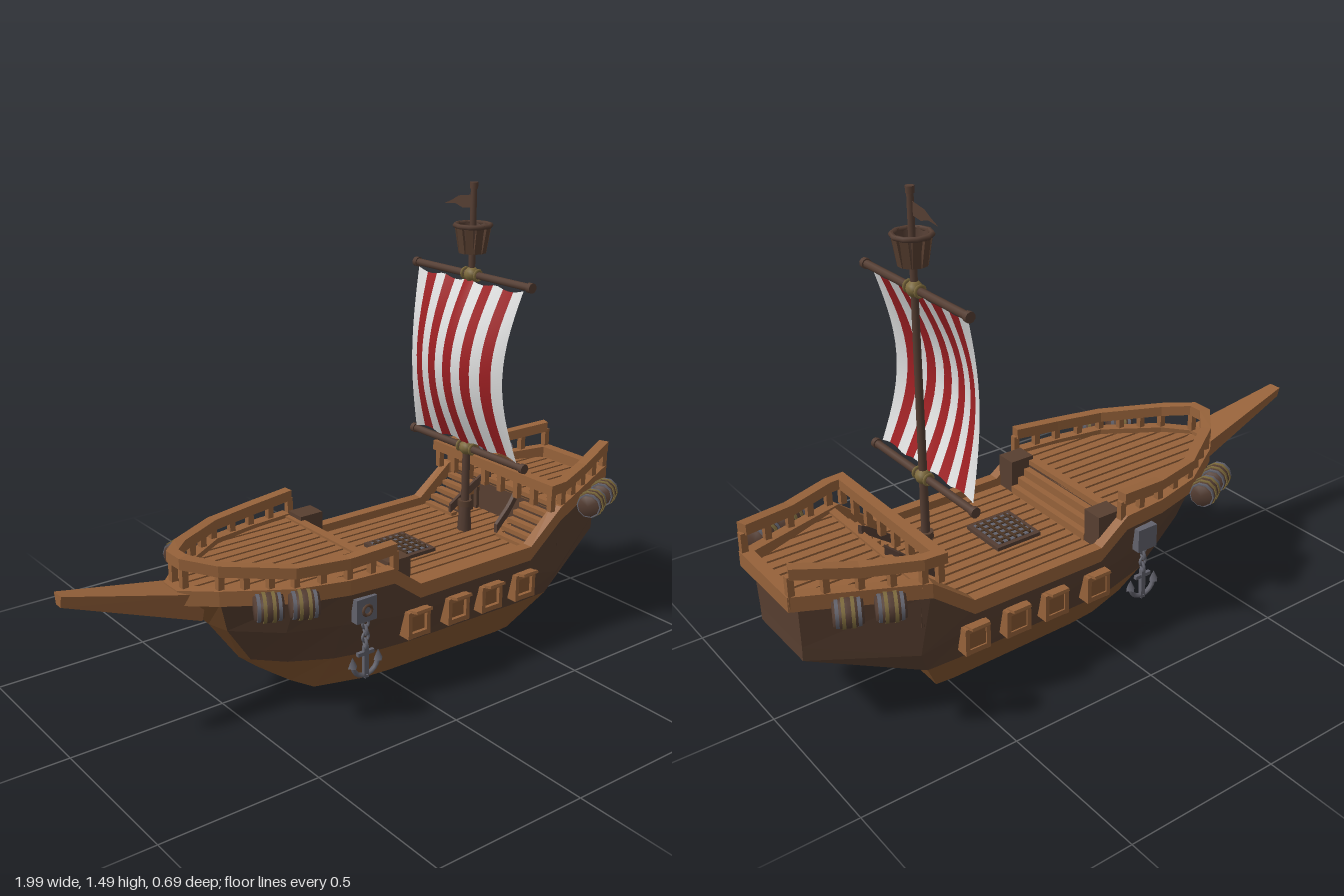
import * as THREE from 'three';

const mat = (name, color, side = THREE.FrontSide) => {
  const m = new THREE.MeshStandardMaterial({ color, side });
  m.name = name;
  return m;
};

export function createModel() {
  const ship = new THREE.Group();
  ship.name = 'sailingShip';
  const wood = mat('lightWood', 0x96623a);
  const hullWood = mat('hullWood', 0x845630);
  const dark = mat('darkHullWood', 0x583f30);
  const gap = mat('deckGaps', 0x4a3424);
  const spar = mat('sparWood', 0x543d32, THREE.DoubleSide);
  const iron = mat('iron', 0x62626c);
  const rope = mat('rope', 0x7d6a3c);
  const white = mat('sailWhite', 0xdcdcdc, THREE.DoubleSide);
  const red = mat('sailRed', 0x9c1f22, THREE.DoubleSide);

  const add = (name, geo, m, x = 0, y = 0, z = 0, parent = ship) => {
    const mesh = new THREE.Mesh(geo, m);
    mesh.name = name;
    mesh.position.set(x, y, z);
    parent.add(mesh);
    return mesh;
  };
  // box given by its limits
  const box = (name, m, x0, x1, y0, y1, z0, z1, parent) => add(name,
    new THREE.BoxGeometry(x1 - x0, y1 - y0, z1 - z0), m, (x0 + x1) / 2, (y0 + y1) / 2, (z0 + z1) / 2, parent);
  const flip = p => [p[0], p[1], -p[2]];
  const quads = list => {
    const pos = [];
    for (const [a, b, c, d] of list) pos.push(...a, ...b, ...c, ...a, ...c, ...d);
    const g = new THREE.BufferGeometry();
    g.setAttribute('position', new THREE.Float32BufferAttribute(pos, 3));
    g.computeVertexNormals();
    return g;
  };
  const mirrored = list => list.concat(list.map(q => q.map(flip).reverse()));
  // rectangular beam with mitred corners along a path
  const beam = (pts, w, h, closed) => {
    const n = pts.length;
    const normal = (a, b) => new THREE.Vector2(-(b[2] - a[2]), b[0] - a[0]).normalize();
    const rings = pts.map((p, i) => {
      const n1 = i > 0 || closed ? normal(pts[(i + n - 1) % n], p) : normal(p, pts[1]);
      const n2 = i < n - 1 || closed ? normal(p, pts[(i + 1) % n]) : n1;
      const o = n1.clone().add(n2).multiplyScalar(w / 2 / (1 + n1.dot(n2)));
      const at = (s, dy) => [p[0] + s * o.x, p[1] + dy, p[2] + s * o.y];
      return [at(1, 0), at(1, h), at(-1, h), at(-1, 0)];
    });
    const list = [];
    for (let i = 0; i < (closed ? n : n - 1); i++) {
      const a = rings[i], b = rings[(i + 1) % n];
      for (let k = 0; k < 4; k++) list.push([a[k], b[k], b[(k + 1) % 4], a[(k + 1) % 4]]);
    }
    if (!closed) list.push(rings[0], rings[n - 1].slice().reverse());
    return quads(list);
  };

  // hull stations from bow to stern: keel edge, colour line, mid strake, rim
  const st = [
    [[-.38, .09, .005], [-.44, .14, .005], [-.54, .28, .005], [-.64, .385, .03]],
    [[-.34, .065, .03], [-.42, .14, .04], [-.51, .27, .06], [-.56, .39, .11]],
    [[-.29, .035, .06], [-.34, .14, .12], [-.38, .27, .175], [-.38, .39, .225]],
    [[-.22, 0, .085], [-.22, .14, .185], [-.22, .27, .235], [-.22, .385, .262]],
    [[-.07, 0, .13], [-.07, .14, .225], [-.07, .26, .26], [-.07, .385, .275]],
    [[.03, 0, .14], [.03, .14, .235], [.03, .25, .265], [.03, .31, .275]],
    [[.48, 0, .15], [.48, .14, .24], [.48, .25, .265], [.49, .31, .275]],
    [[.54, 0, .145], [.62, .14, .235], [.65, .215, .255], [.62, .415, .272]],
    [null, [.95, .255, .126], [.95, .3, .128], [.955, .44, .135]],
  ];
  const lower = [], upper = [];
  for (let i = 0; i < 8; i++) for (let k = 0; k < 3; k++) {
    const a = st[i], b = st[i + 1];
    if (!b[k]) continue;
    (k === 0 || i === 0 ? lower : upper).push([a[k], b[k], b[k + 1], a[k + 1]]);
  }
  const across = (a, b) => [a, flip(a), flip(b), b];
  const keel = [];
  for (let i = 0; i < 7; i++) keel.push(across(st[i][0], st[i + 1][0]));
  keel.push(across(st[7][0], st[7][1]));
  add('lowerHull', quads(mirrored(lower).concat(keel)), hullWood);
  add('upperHull', quads(mirrored(upper).concat([across(st[7][1], st[8][1]),
    across(st[8][1], st[8][2]), across(st[8][2], st[8][3])])), dark);

  // gunwale all around the ship
  const rimSide = st.map((s, i) => [s[3][0] + (i === 8 ? .015 : 0), s[3][1], s[3][2]]);
  add('gunwale', beam(rimSide.concat(rimSide.map(flip).reverse()), .036, .047, true), wood);

  // bowsprit
  const b0 = [[-.58, .315, .04], [-.58, .41, .07]], b1 = [[-1, .47, .014], [-1, .505, .022]];
  add('bowsprit', quads(mirrored([[b1[0], b0[0], b0[1], b1[1]]]).concat([
    across(b1[0], b0[0]), [b1[1], b0[1], flip(b0[1]), flip(b1[1])], [b1[0], b1[1], flip(b1[1]), flip(b1[0])]])), wood);

  // decks: dark base with separate planks cut to the outline
  const bowEdge = [[0, -.63], [.03, -.62], [.1, -.55], [.212, -.38], [.248, -.22], [.263, -.05]];
  const sternEdge = [[0, .96], [.125, .96], [.262, .62]];
  const edgeAt = (edge, z) => {
    for (let i = 1; i < edge.length; i++) if (z <= edge[i][0]) {
      const [z0, x0] = edge[i - 1], [z1, x1] = edge[i];
      return x0 + (x1 - x0) * (z - z0) / (z1 - z0);
    }
    return edge[edge.length - 1][1];
  };
  const flat = (pts, h) => {
    const s = new THREE.Shape(pts.map(p => new THREE.Vector2(p[0], -p[1])));
    return new THREE.ExtrudeGeometry(s, { depth: h, bevelEnabled: false }).rotateX(-Math.PI / 2);
  };
  const deck = (name, y, left, right) => {
    const g = new THREE.Group();
    g.name = name;
    ship.add(g);
    const zs = [0, .03, .1, .125, .212, .248, .262];
    const side = (f, s) => zs.map(z => [f(z), z * s]);
    add('deckBase', flat([...side(left, -1).reverse(), ...side(left, 1),
      ...side(right, 1).reverse(), ...side(right, -1)].filter((p, i, l) => !i || p[0] !== l[i - 1][0] || p[1] !== l[i - 1][1]), .01), gap, 0, y - .018, 0, g);
    for (let i = -6; i <= 6; i++) {
      const z0 = i * .04 - .0155, z1 = Math.min(i * .04 + .0155, .262);
      const f = (e, z) => e(Math.min(Math.abs(z), .262));
      add('plank', flat([[f(left, z0), z0], [f(left, z1), z1], [f(right, z1), z1], [f(right, z0), z0]], .009), wood, 0, y - .009, 0, g);
    }
  };
  deck('foredeck', .42, z => edgeAt(bowEdge, z), () => -.06);
  deck('mainDeck', .33, () => -.06, () => .64);
  deck('sternDeck', .45, () => .64, z => edgeAt(sternEdge, z));
  box('foreBulkhead', dark, -.065, -.055, .31, .41, -.262, .262);
  box('sternBulkhead', dark, .637, .647, .31, .44, -.26, .26);
  box('foredeckEdge', wood, -.085, -.055, .405, .427, -.262, .262);
  box('sternDeckEdge', wood, .63, .655, .435, .457, -.262, .262);

  // stairs
  for (let i = 0; i < 3; i++) {
    const x = -.055 + i * .025;
    box('foreStep', wood, x, x + .022, .32, .402 - i * .024, -.19, .19);
    box('foreRiser', gap, x + .022, x + .025, .32, .37 - i * .024, -.19, .19);
  }
  for (const s of [1, -1]) {
    box('foreStairPost', dark, -.07, .015, .33, .44, s * .225 - .035, s * .225 + .035);
    for (let i = 0; i < 5; i++) {
      const x = .635 - (i + 1) * .026;
      box('sternStep', wood, x, x + .024, .41 - i * .021, .425 - i * .021, s * .18 - .07, s * .18 + .07);
      box('sternRiser', dark, x + .014, x + .026, .32, .41 - i * .021, s * .18 - .066, s * .18 + .066);
    }
    add('stairRail', beam([[.5, .345, s * .115], [.56, .39, s * .105], [.61, .43, s * .09], [.645, .455, s * .07]], .012, .03), spar);
  }

  // hatch with grating
  box('hatchFrame', spar, .105, .265, .325, .342, -.085, .085);
  box('hatchWell', iron, .12, .25, .34, .344, -.07, .07);
  for (let i = 0; i < 5; i++) {
    const o = -.052 + i * .026;
    box('hatchBar', gap, .185 + o - .004, .185 + o + .004, .342, .348, -.07, .07);
    box('hatchBar', gap, .12, .25, .342, .347, o - .004, o + .004);
  }

  // railings with posts
  const railing = (name, side, base) => {
    const path = side.map(flip).reverse().concat(side);
    add(name, beam(path, .034, .034), wood);
    path.forEach((p, i) => {
      const q = path[i + 1] || p;
      const n = Math.max(1, Math.round(Math.hypot(q[0] - p[0], q[2] - p[2]) / .075));
      for (let k = 0; k < (q === p ? 1 : n); k++) {
        const [x, y, z] = p.map((v, j) => v + (q[j] - v) * k / n);
        box(name + 'Post', wood, x - .01, x + .01, base, y + .005, z - .01, z + .01);
      }
    });
  };
  railing('foreRail', [[-.63, .493, .03], [-.56, .48, .11], [-.38, .466, .225], [-.22, .466, .262], [-.06, .476, .275]], .42);
  railing('sternRail', [[.59, .51, .274], [.64, .51, .27], [.8, .515, .205], [.975, .542, .14]], .45);

  // mast, yards and rope collars
  const cyl = (r0, r1, h, n = 10) => new THREE.CylinderGeometry(r0, r1, h, n);
  const mx = .465;
  add('mast', cyl(.01, .014, 1.15), spar, mx, .905);
  add('mastCap', cyl(.013, .013, .02), spar, mx, 1.475);
  add('mastFoot', cyl(.018, .024, .1, 8), spar, mx, .375);
  add('mastFootRing', cyl(.024, .024, .02, 8), dark, mx, .425);
  for (const y of [.62, 1.197]) {
    add('yard', cyl(.012, .012, .54).rotateX(Math.PI / 2), spar, mx, y);
    for (const s of [1, -1]) add('yardEnd', cyl(.016, .016, .016).rotateX(Math.PI / 2), spar, mx, y, s * .265);
    add('ropeCollar', new THREE.SphereGeometry(.025, 10, 6), rope, mx, y);
    for (const s of [1, -1]) add('ropeTurn', new THREE.TorusGeometry(.016, .005, 5, 12), rope, mx, y, s * .03);
  }

  // sail, striped and bellied towards the bow
  for (let i = 0; i < 11; i++) {
    const g = new THREE.PlaneGeometry(2 / 11, 1, 2, 14);
    const p = g.attributes.position;
    for (let k = 0; k < p.count; k++) {
      const u = p.getX(k) + (i - 5) * 2 / 11, v = p.getY(k) + .5, b = Math.sin(Math.PI * v);
      const scallop = .012 * Math.abs(Math.sin(u * Math.PI * 2)) * (1 - 2 * v);
      p.setXYZ(k, .455 - b * (.088 - .04 * u * u), .635 + .55 * v + scallop, u * (.245 - .028 * b));
    }
    g.computeVertexNormals();
    add('sailStripe', g, i % 2 ? red : white);
  }

  // crow's nest
  add('nestShell', new THREE.CylinderGeometry(.05, .036, .085, 10, 1, true), spar, mx, 1.312);
  add('nestFloor', cyl(.038, .036, .01), dark, mx, 1.272);
  for (let i = 0; i < 10; i++) {
    const pivot = new THREE.Group();
    pivot.name = 'nestStave';
    pivot.position.set(mx, 1.312, 0);
    pivot.rotation.y = i * Math.PI / 5;
    ship.add(pivot);
    add('stave', new THREE.BoxGeometry(.008, .092, .024), dark, .046, 0, 0, pivot).rotation.z = -.17;
  }
  add('nestRim', new THREE.TorusGeometry(.056, .008, 6, 10).rotateX(Math.PI / 2), spar, mx, 1.352);

  // pennant
  const flag = new THREE.Shape([[.01, 1.445], [.07, 1.436], [.1, 1.42], [.135, 1.405], [.085, 1.41], [.05, 1.4], [.01, 1.405]]
    .map(p => new THREE.Vector2(...p)));
  add('pennant', new THREE.ShapeGeometry(flag).rotateY(Math.PI / 2), spar, mx);

  // barrels, gun ports and anchors on both sides
  const profile = [[0, -.042], [.034, -.042], [.041, -.02], [.043, 0], [.041, .02], [.034, .042], [0, .042]];
  const barrelGeo = new THREE.LatheGeometry(profile.map(p => new THREE.Vector2(...p)), 10).rotateZ(-Math.PI / 2);
  const bandGeo = r => new THREE.CylinderGeometry(r, r, .01, 10).rotateZ(Math.PI / 2);
  for (const s of [1, -1]) {
    for (const [x, y, z, a] of [[-.485, .41, .245, -.46], [-.395, .41, .29, -.46], [.76, .445, .295, .44], [.865, .445, .25, .44]]) {
      const g = new THREE.Group();
      g.name = 'barrel';
      g.position.set(x, y, z * s);
      g.rotation.y = a * s;
      ship.add(g);
      add('barrelBody', barrelGeo, spar, 0, 0, 0, g);
      for (const o of [-.03, .03]) add('barrelHoop', bandGeo(.0405), iron, o, 0, 0, g);
      for (const o of [-.013, .013]) add('barrelRope', bandGeo(.0445), rope, o, 0, 0, g);
    }
    for (const x of [.035, .195, .335, .48]) {
      const g = new THREE.Group();
      g.name = 'gunPort';
      g.position.set(x, .22, s * .265);
      ship.add(g);
      box('portPanel', hullWood, -.03, .03, -.03, .03, -.02, .008, g);
      for (const o of [-.036, .036]) {
        box('portJamb', wood, o - .007, o + .007, -.045, .04, -.025, .02, g);
        box('portBar', wood, -.042, .042, o - .008, o + .008, -.025, .02, g);
      }
      const lid = add('portLid', new THREE.BoxGeometry(.062, .009, .045), wood, 0, .046, s * .022, g);
      lid.rotation.x = s * -.25;
    }
    const a = new THREE.Group();
    a.name = 'anchor';
    a.position.set(-.16, 0, s * .267);
    ship.add(a);
    box('anchorPlate', iron, -.037, .037, .28, .357, -.02, .008, a);
    add('plateRing', new THREE.TorusGeometry(.016, .005, 6, 10), dark, 0, .318, s * .01, a);
    [.272, .25, .228, .206].forEach((y, i) => {
      add('chainLink', new THREE.TorusGeometry(.014, .005, 5, 10), iron, 0, y, 0, a).rotation.y = i % 2 ? 1.2 : .2;
    });
    box('anchorShank', iron, -.008, .008, .095, .198, -.007, .007, a);
    box('anchorStock', iron, -.03, .03, .17, .182, -.006, .006, a);
    add('anchorArms', new THREE.TorusGeometry(.048, .008, 5, 12, Math.PI).rotateZ(Math.PI), iron, 0, .15, 0, a);
    for (const o of [-1, 1]) add('anchorFluke', new THREE.ConeGeometry(.017, .034, 4), iron, o * .048, .157, 0, a);
    add('anchorPoint', new THREE.ConeGeometry(.012, .02, 4).rotateX(Math.PI), iron, 0, .096, 0, a);
  }
  return ship;
}
